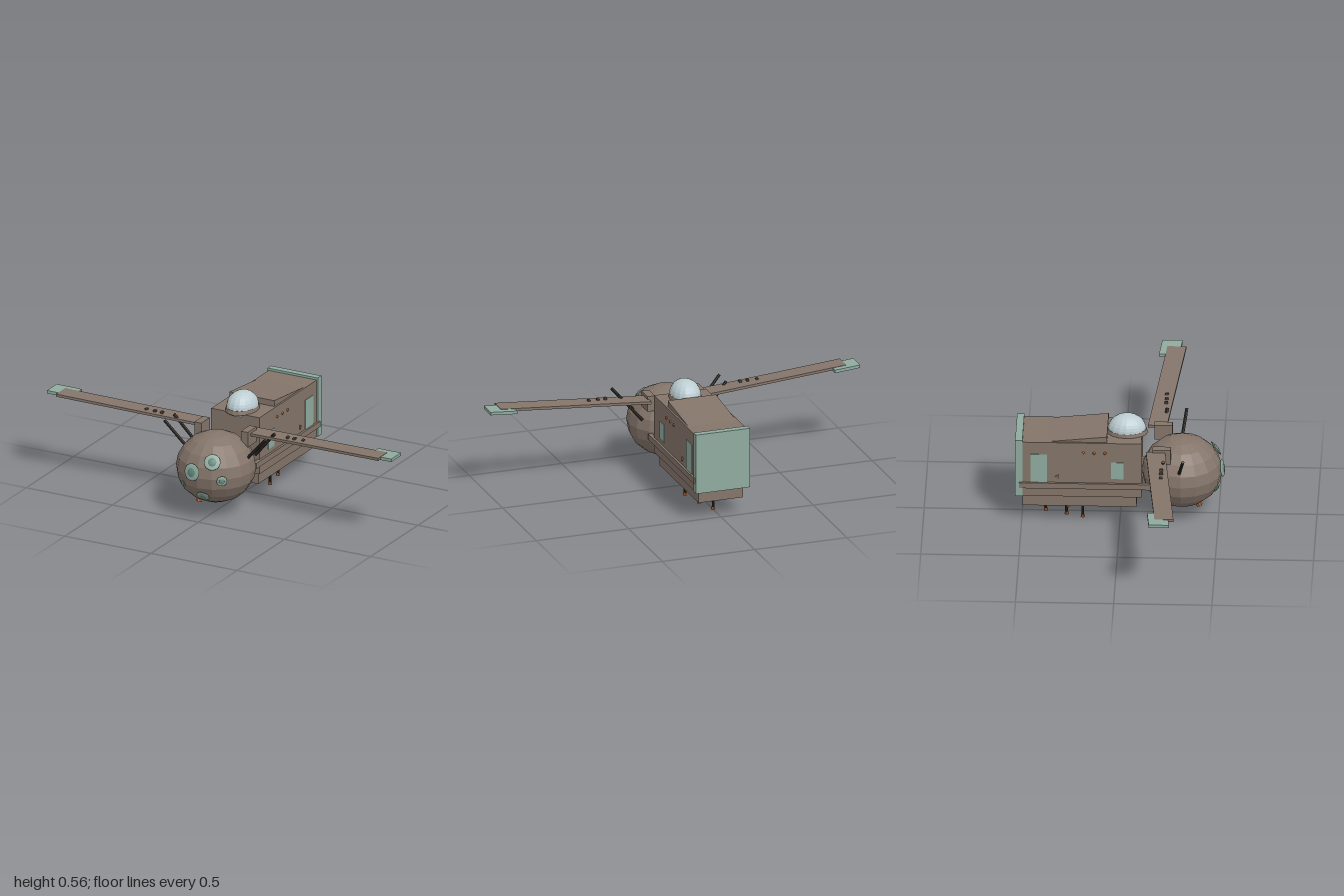
import * as THREE from 'three';

const mat = (color) => new THREE.MeshStandardMaterial({ color, flatShading: true });
const brown = mat(0x84756a), green = mat(0x8fab9f), darkGreen = mat(0x64877b);
const glass = mat(0xbccdd2), orange = mat(0xbb6a35), dark = mat(0x35312c), slot = mat(0x574a41);

export function createModel() {
  const model = new THREE.Group();

  const add = (name, geometry, material, x = 0, y = 0, z = 0, parent = model) => {
    const mesh = new THREE.Mesh(geometry, material);
    mesh.name = name;
    mesh.position.set(x, y, z);
    parent.add(mesh);
    return mesh;
  };
  // Box given by its limits on each axis
  const box = (name, material, [x0, x1], [y0, y1], [z0, z1]) =>
    add(name, new THREE.BoxGeometry(x1 - x0, y1 - y0, z1 - z0), material,
      (x0 + x1) / 2, (y0 + y1) / 2, (z0 + z1) / 2);
  // Round bar between two points
  const bar = (name, a, b, r, material) => {
    const from = new THREE.Vector3(...a), to = new THREE.Vector3(...b);
    const dir = to.clone().sub(from);
    const mesh = add(name, new THREE.CylinderGeometry(r, r, dir.length(), 8), material);
    mesh.position.copy(from).addScaledVector(dir, 0.5);
    mesh.quaternion.setFromUnitVectors(new THREE.Vector3(0, 1, 0), dir.normalize());
    return mesh;
  };

  // Faceted ball at the front
  const centre = new THREE.Vector3(0, 0.245, 0.313);
  const radii = new THREE.Vector3(0.205, 0.185, 0.205);
  add('noseBall', new THREE.SphereGeometry(1, 16, 10), brown, ...centre.toArray()).scale.copy(radii);

  // Portholes: flattened lenses lying on the ball
  const portholes = [[-0.027, 0.273, 0.045], [0.07, 0.332, 0.042], [0.123, 0.24, 0.027],
    [-0.092, 0.193, 0.02], [0.02, 0.145, 0.034]];
  for (const [x, y, r] of portholes) {
    const nx = x / radii.x, ny = (y - centre.y) / radii.y;
    const n = new THREE.Vector3(nx, ny, Math.sqrt(1 - nx * nx - ny * ny));
    const port = new THREE.Group();
    port.name = 'porthole';
    port.position.copy(n).multiply(radii).multiplyScalar(1.025).add(centre);
    port.quaternion.setFromUnitVectors(new THREE.Vector3(0, 0, 1), n.clone().divide(radii).normalize());
    add('portholeRim', new THREE.SphereGeometry(r, 16, 10), green, 0, 0, 0, port).scale.z = 0.17;
    add('portholeLens', new THREE.SphereGeometry(r * 0.58, 14, 8), darkGreen, 0, 0, 0.003, port).scale.z = 0.3;
    model.add(port);
  }
  // Small lamp under the ball
  const lamp = add('chinLamp', new THREE.CylinderGeometry(0.016, 0.016, 0.02, 8), orange, -0.05, 0.08, 0.4);
  lamp.rotation.x = -0.4;

  // Hull, keel and tail plate
  box('hull', brown, [-0.14, 0.14], [0.155, 0.463], [-0.495, 0.11]);
  box('keel', brown, [-0.12, 0.12], [0.09, 0.155], [-0.495, 0.085]);
  box('tailPlate', green, [-0.146, 0.146], [0.155, 0.475], [-0.532, -0.495]);

  // Sloping roof wedge behind the dome
  const wedge = new THREE.Shape([[0.065, 0.45], [0.065, 0.495], [0.37, 0.463], [0.37, 0.45]]
    .map(([x, y]) => new THREE.Vector2(x, y)));
  add('roofWedge', new THREE.ExtrudeGeometry(wedge, { depth: 0.26, bevelEnabled: false }),
    brown, -0.13).rotation.y = Math.PI / 2;

  // Cockpit dome with its collar
  add('domeCollar', new THREE.CylinderGeometry(0.1, 0.106, 0.022, 16), brown, 0, 0.471, 0.033).scale.x = 0.79;
  add('dome', new THREE.SphereGeometry(1, 16, 10, 0, Math.PI * 2, 0, Math.PI * 0.62), glass,
    0, 0.479, 0.033).scale.set(0.079, 0.081, 0.098);

  // Swept, slightly raised slab: a box sheared along the span
  const sweptSlab = (x0, x1, thick, chord) => {
    const g = new THREE.BoxGeometry(x1 - x0, thick, chord);
    g.translate((x0 + x1) / 2, 0, 0);
    const p = g.attributes.position;
    for (let i = 0; i < p.count; i++) {
      const u = (Math.abs(p.getX(i)) - 0.15) / 0.78;
      p.setY(i, p.getY(i) + 0.414 + 0.035 * u);
      p.setZ(i, p.getZ(i) + 0.183 + 0.07 * u);
    }
    g.computeVertexNormals();
    return g;
  };

  for (const s of [1, -1]) {
    const span = (a, b) => (s > 0 ? [a, b] : [-b, -a]);

    // Wing, tip, shoulder and wing slots
    add('wing', sweptSlab(...span(0.145, 0.935), 0.014, 0.097), brown);
    add('wingTip', sweptSlab(...span(0.86, 1), 0.016, 0.103), green, 0, -0.003, -0.03);
    box('shoulder', brown, span(0.115, 0.155), [0.355, 0.437], [0.168, 0.26]);
    for (const x of [0.365, 0.405, 0.455])
      add('wingSlot', new THREE.BoxGeometry(0.013, 0.02, 0.018), slot, s * x, 0.432, 0.22);

    // Slanted struts
    bar('frontStrut', [s * 0.18, 0.318, 0.304], [s * 0.292, 0.443, 0.327], 0.008, dark);
    bar('rearStrut', [s * 0.17, 0.3, 0.205], [s * 0.292, 0.443, 0.227], 0.008, dark);

    // Side rail, panels, rivets and marker
    box('sideRail', brown, span(0.13, 0.152), [0.204, 0.235], [-0.512, 0.165]);
    box('frontPanel', green, span(0.135, 0.143), [0.26, 0.355], [-0.045, 0.02]);
    box('rearPanel', green, span(0.135, 0.143), [0.235, 0.395], [-0.455, -0.37]);
    for (const z of [-0.075, -0.13, -0.185])
      add('rivet', new THREE.SphereGeometry(0.008, 8, 6), orange, s * 0.14, 0.406, z);
    const marker = add('sideMarker', new THREE.ConeGeometry(0.013, 0.022, 8), brown, s * 0.142, 0.268, -0.323);
    marker.rotation.x = -Math.PI / 2;
    marker.scale.x = 0.5;
  }

  // Thin legs with small feet: x, z, backward lean
  const legs = [[0.064, -0.14, 0], [-0.064, -0.19, 0.002], [0.037, -0.273, 0.006],
    [-0.037, -0.273, 0.006], [0, -0.38, 0.014]];
  for (const [x, z, lean] of legs) {
    bar('leg', [x, 0.008, z], [x, 0.1, z - lean], 0.007, dark);
    add('foot', new THREE.CylinderGeometry(0.009, 0.011, 0.014, 8), orange, x, 0.007, z);
  }
  return model;
}
